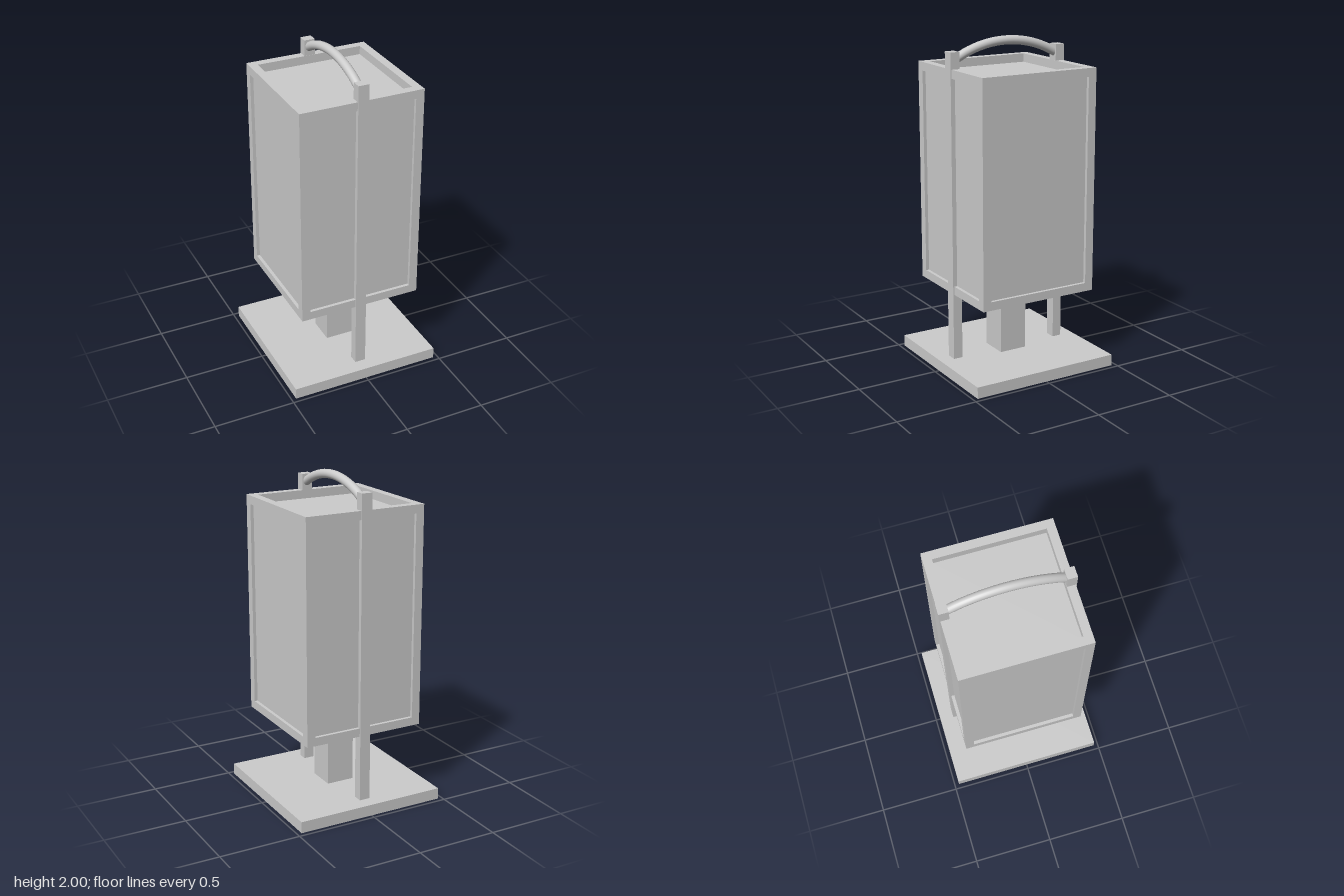
import * as THREE from 'three';

const material = new THREE.MeshStandardMaterial({ color: 0xcccccc });

function addBox(parent, name, [w, h, d], [x, y, z]) {
  const mesh = new THREE.Mesh(new THREE.BoxGeometry(w, h, d), material);
  mesh.name = name;
  mesh.position.set(x, y, z);
  parent.add(mesh);
  return mesh;
}

export function createModel() {
  const model = new THREE.Group();
  model.name = 'lantern';

  // Base plate and the central pillar that carries the body
  addBox(model, 'base', [0.944, 0.07, 0.944], [0, 0.035, 0]);
  addBox(model, 'pillar', [0.175, 0.48, 0.175], [0, 0.3, 0]);

  // Frame: four corner posts joined by bars at top and bottom
  const X = 0.382, Z = 0.379, Y0 = 0.48, Y1 = 1.832, T = 0.052;
  const midY = (Y0 + Y1) / 2;
  const frame = new THREE.Group();
  frame.name = 'frame';
  model.add(frame);
  for (const sx of [-1, 1]) {
    for (const sz of [-1, 1]) {
      addBox(frame, 'cornerPost', [T, Y1 - Y0, T], [sx * (X - T / 2), midY, sz * (Z - T / 2)]);
    }
  }
  for (const y of [Y0 + T / 2, Y1 - T / 2]) {
    for (const s of [-1, 1]) {
      addBox(frame, 'crossBar', [2 * (X - T), T, T], [0, y, s * (Z - T / 2)]);
      addBox(frame, 'sideBar', [T, T, 2 * (Z - T)], [s * (X - T / 2), y, 0]);
    }
  }

  // Closed shade set slightly back inside the frame
  addBox(model, 'shade', [0.724, Y1 - Y0 - 2 * T, 0.718], [0, midY, 0]);

  // Tall uprights at front and back
  for (const s of [-1, 1]) {
    addBox(model, s > 0 ? 'frontUpright' : 'backUpright', [0.067, 1.86, 0.058], [0, 1.0, s * 0.357]);
  }

  // Arched carrying handle between the uprights
  const radius = 0.687, top = 1.973, half = Math.asin(0.34 / radius), points = [];
  for (let i = 0; i <= 10; i++) {
    const a = half * (i / 5 - 1);
    points.push(new THREE.Vector3(0, top - radius * (1 - Math.cos(a)), radius * Math.sin(a)));
  }
  const handle = new THREE.Mesh(
    new THREE.TubeGeometry(new THREE.CatmullRomCurve3(points), 20, 0.027, 20), material);
  handle.name = 'handle';
  model.add(handle);

  return model;
}
